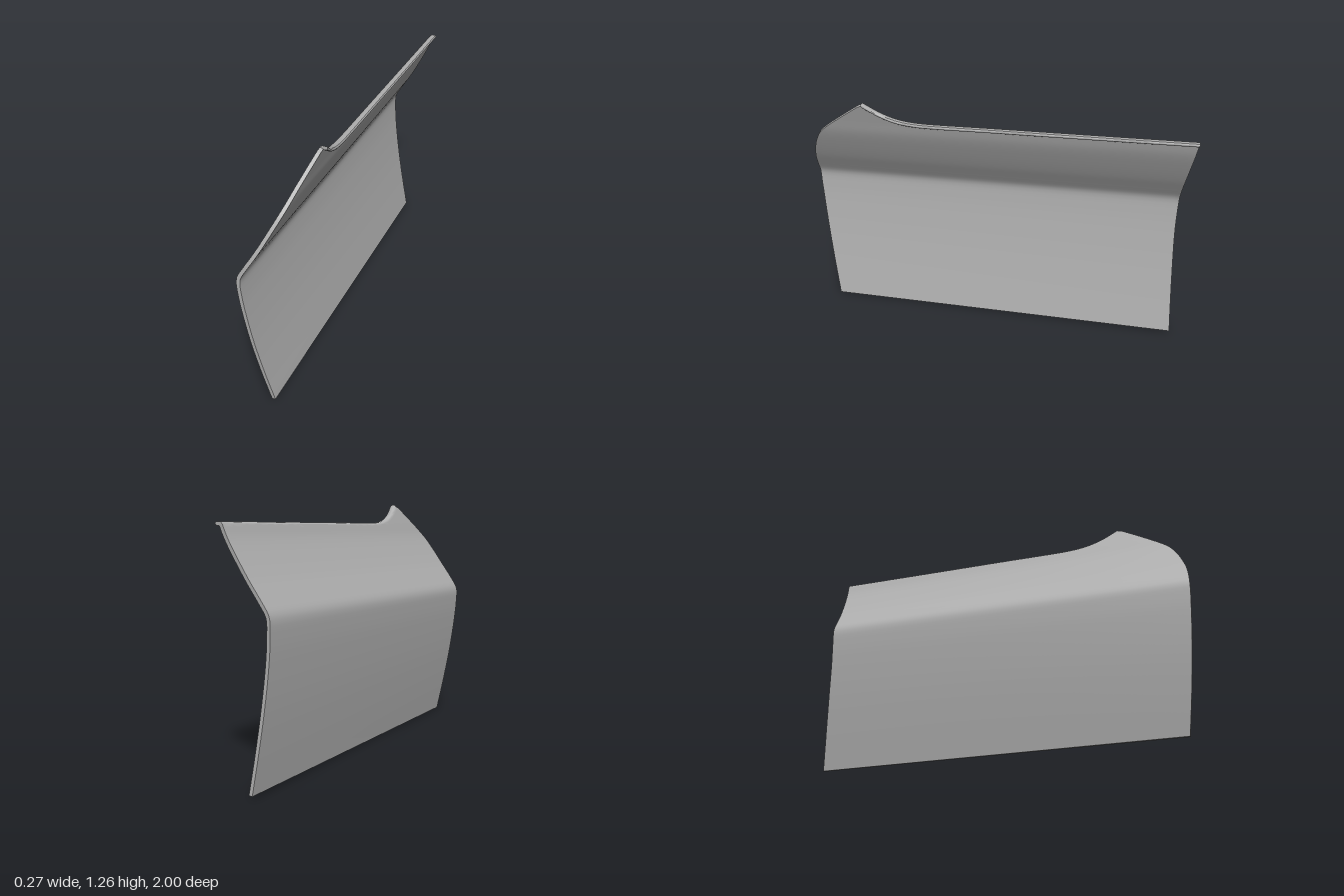
import * as THREE from 'three';
import { toCreasedNormals } from 'three/addons/utils/BufferGeometryUtils.js';

// Smooth interpolation through [t, value] pairs
function curve(pts) {
  const slope = (i) => {
    const a = pts[Math.max(i - 1, 0)], b = pts[Math.min(i + 1, pts.length - 1)];
    return (b[1] - a[1]) / (b[0] - a[0]);
  };
  return (t) => {
    let i = 0;
    while (i < pts.length - 2 && t > pts[i + 1][0]) i++;
    const [t0, v0] = pts[i], [t1, v1] = pts[i + 1];
    const h = t1 - t0, s = Math.min(Math.max((t - t0) / h, 0), 1), r = 1 - s;
    return v0 * (1 + 2 * s) * r * r + slope(i) * h * s * r * r
      + v1 * s * s * (3 - 2 * s) - slope(i + 1) * h * s * s * r;
  };
}
const indexed = (values) => curve(values.map((v, i) => [i, v]));

// Sideways profile of the outer skin: x for a given height
const profile = curve([[0, -0.051], [0.2, -0.083], [0.4, -0.111], [0.6, -0.132], [0.7, -0.138],
  [0.74, -0.138], [0.77, -0.13], [0.82, -0.1], [0.9, -0.05], [1, 0.004], [1.08, 0.042],
  [1.15, 0.066], [1.26, 0.104]]);

// Front and rear edges, matched row by row from the bottom to the top
const frontZ = indexed([0.92, 0.95, 0.975, 0.993, 1, 0.99, 0.965, 0.93, 0.88, 0.76, 0.63]);
const frontY = indexed([0, 0.2, 0.4, 0.6, 0.74, 0.85, 0.94, 1.02, 1.085, 1.175, 1.265]);
const rearZ = indexed([-0.98, -0.967, -0.955, -0.946, -0.948, -0.956, -0.965, -0.975, -0.984, -0.993, -1]);
const rearY = indexed([0.012, 0.2, 0.4, 0.6, 0.78, 0.88, 0.95, 1.02, 1.08, 1.14, 1.19]);

// Height of the top edge along z, with the dip behind the peak
const topY = curve([[-1, 1.19], [-0.5, 1.18], [0, 1.171], [0.28, 1.165], [0.38, 1.167],
  [0.47, 1.181], [0.55, 1.214], [0.63, 1.265]]);

const ROWS = 60, COLS = 72, THICK = 0.018, LIP = 0.036;

// One closed cross-section: up the outer skin, over the lip, down the inner skin
function section(u) {
  const mix = THREE.MathUtils.lerp;
  const outer = [], inner = [];
  const zTop = mix(frontZ(10), rearZ(10), u);
  const dip = topY(zTop) - mix(frontY(10), rearY(10), u);
  const skinX = (y, z) => profile(y - 0.02 * (1 - z) * Math.min(y / 0.75, 1));
  for (let r = 0; r <= ROWS; r++) {
    const t = 10 * r / ROWS;
    const z = mix(frontZ(t), rearZ(t), u);
    let y = mix(frontY(t), rearY(t), u) + dip * (t / 10) ** 3;
    if (r === ROWS) y -= 0.01;
    const x = skinX(y, z);
    const dx = (skinX(y + 0.01, z) - skinX(y - 0.01, z)) / 0.02;
    const k = THICK / Math.hypot(1, dx);
    outer.push([x, y, z]);
    inner.push([x + k, y - dx * k, z]);
  }
  // Rounded lip turned inwards along the top
  const [x, y0] = outer[ROWS], y = y0 + 0.01;
  outer.push([x + 0.005, y - 0.003, zTop], [x + 0.013, y, zTop], [x + LIP - 0.003, y - 0.001, zTop],
    [x + LIP, y - 0.005, zTop]);
  inner.push([x + 0.02, y - 0.018, zTop], [x + 0.026, y - 0.017, zTop], [x + LIP - 0.003, y - 0.016, zTop],
    [x + LIP, y - 0.012, zTop]);
  return outer.concat(inner.reverse());
}

// Skin the cross-sections from front to rear and close both ends
function panelGeometry() {
  const positions = [], index = [];
  let n = 0;
  for (let c = 0; c <= COLS; c++) {
    const loop = section(c / COLS);
    n = loop.length;
    positions.push(...loop.flat());
  }
  const quad = (a, b, c, d) => index.push(a, b, c, a, c, d);
  for (let c = 0; c < COLS; c++) {
    for (let j = 0; j < n; j++) {
      const k = (j + 1) % n, p = c * n, q = p + n;
      quad(p + j, p + k, q + k, q + j);
    }
  }
  const last = COLS * n;
  for (let j = 0; j < n / 2 - 1; j++) {
    quad(n - 1 - j, n - 2 - j, j + 1, j);
    quad(last + j, last + j + 1, last + n - 2 - j, last + n - 1 - j);
  }
  const g = new THREE.BufferGeometry();
  g.setAttribute('position', new THREE.Float32BufferAttribute(positions, 3));
  g.setIndex(index);
  return toCreasedNormals(g, 0.8);
}

export function createModel() {
  const group = new THREE.Group();
  group.name = 'doorPanel';
  const grey = new THREE.MeshStandardMaterial({ color: 0xb0b0b0 });
  grey.name = 'light grey';
  const skin = new THREE.Mesh(panelGeometry(), grey);
  skin.name = 'doorSkin';
  group.add(skin);
  return group;
}
